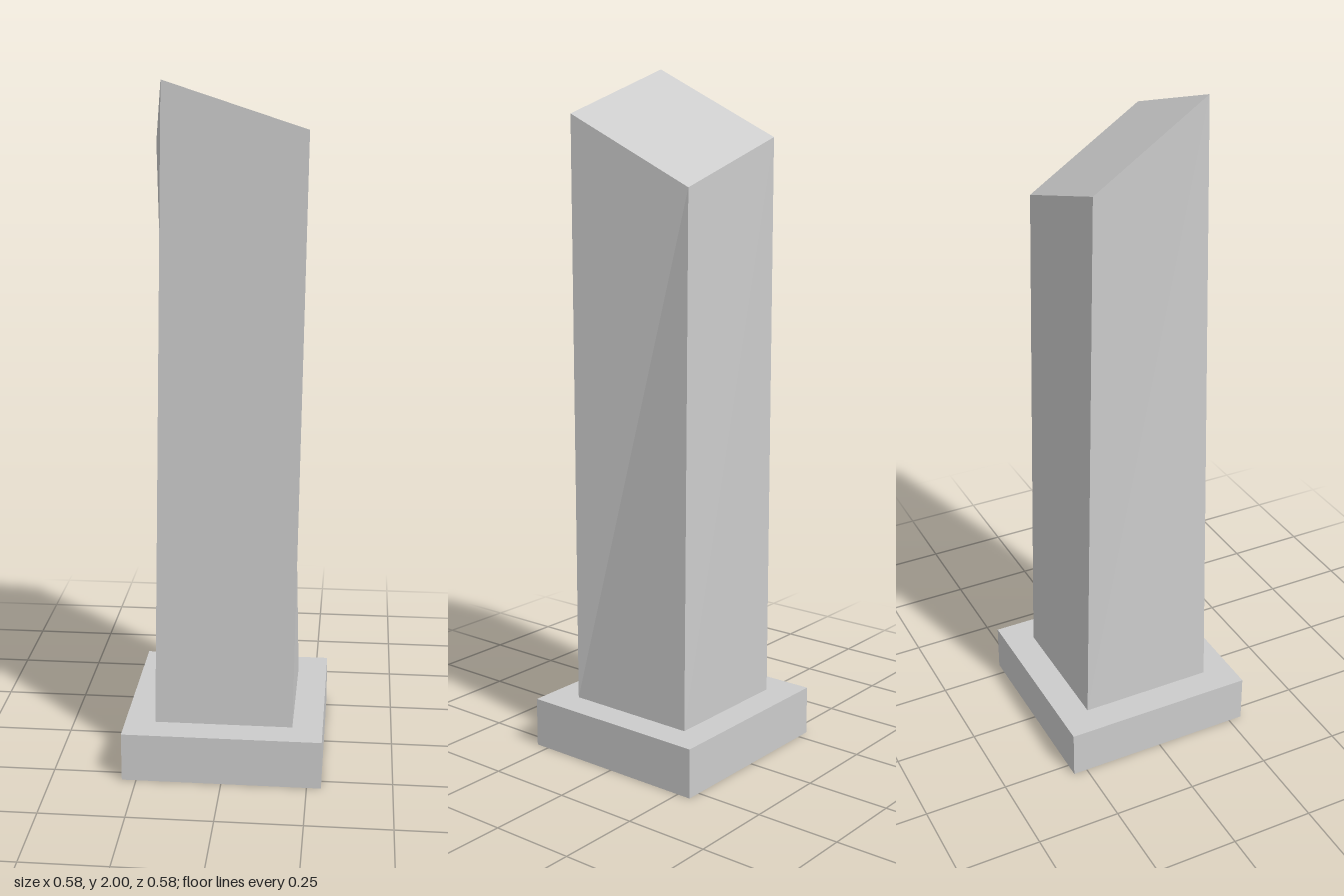
import * as THREE from 'three';

const material = new THREE.MeshStandardMaterial({
  color: 0xcccccc, flatShading: true, side: THREE.DoubleSide,
});

// Square ring of corners: front right, front left, back left, back right
const square = (half, y) =>
  [[-1, 1], [1, 1], [1, -1], [-1, -1]].map(([x, z]) => [x * half, y, z * half]);

// Joins successive four-cornered rings with flat faces, optionally closing the top
function loft(name, rings, closeTop = false) {
  const points = [];
  for (let r = 0; r + 1 < rings.length; r++) {
    const a = rings[r], b = rings[r + 1];
    for (let i = 0; i < 4; i++) {
      const j = (i + 1) % 4;
      points.push(a[i], a[j], b[j], a[i], b[j], b[i]);
    }
  }
  if (closeTop) {
    const t = rings[rings.length - 1];
    points.push(t[0], t[1], t[2], t[0], t[2], t[3]);
  }
  const geometry = new THREE.BufferGeometry();
  geometry.setAttribute('position', new THREE.Float32BufferAttribute(points.flat(), 3));
  geometry.computeVertexNormals();
  const mesh = new THREE.Mesh(geometry, material);
  mesh.name = name;
  return mesh;
}

export function createModel() {
  const model = new THREE.Group();
  model.name = 'pillar';
  const baseHeight = 0.146, baseHalf = 0.292, shaftHalf = 0.203;

  // Hollow plinth: four thin walls and a ledge around the shaft, open underneath
  model.add(loft('plinth', [
    square(baseHalf, 0), square(baseHalf, baseHeight), square(shaftHalf, baseHeight),
  ]));

  // Hollow leaning shaft with a skewed, sloping top
  const slantedTop = [
    [-0.167, 2.0, 0.181], [0.229, 1.872, 0.181],
    [0.165, 1.678, -0.184], [-0.231, 1.806, -0.184],
  ];
  model.add(loft('shaft', [square(shaftHalf, baseHeight), slantedTop], true));
  return model;
}
